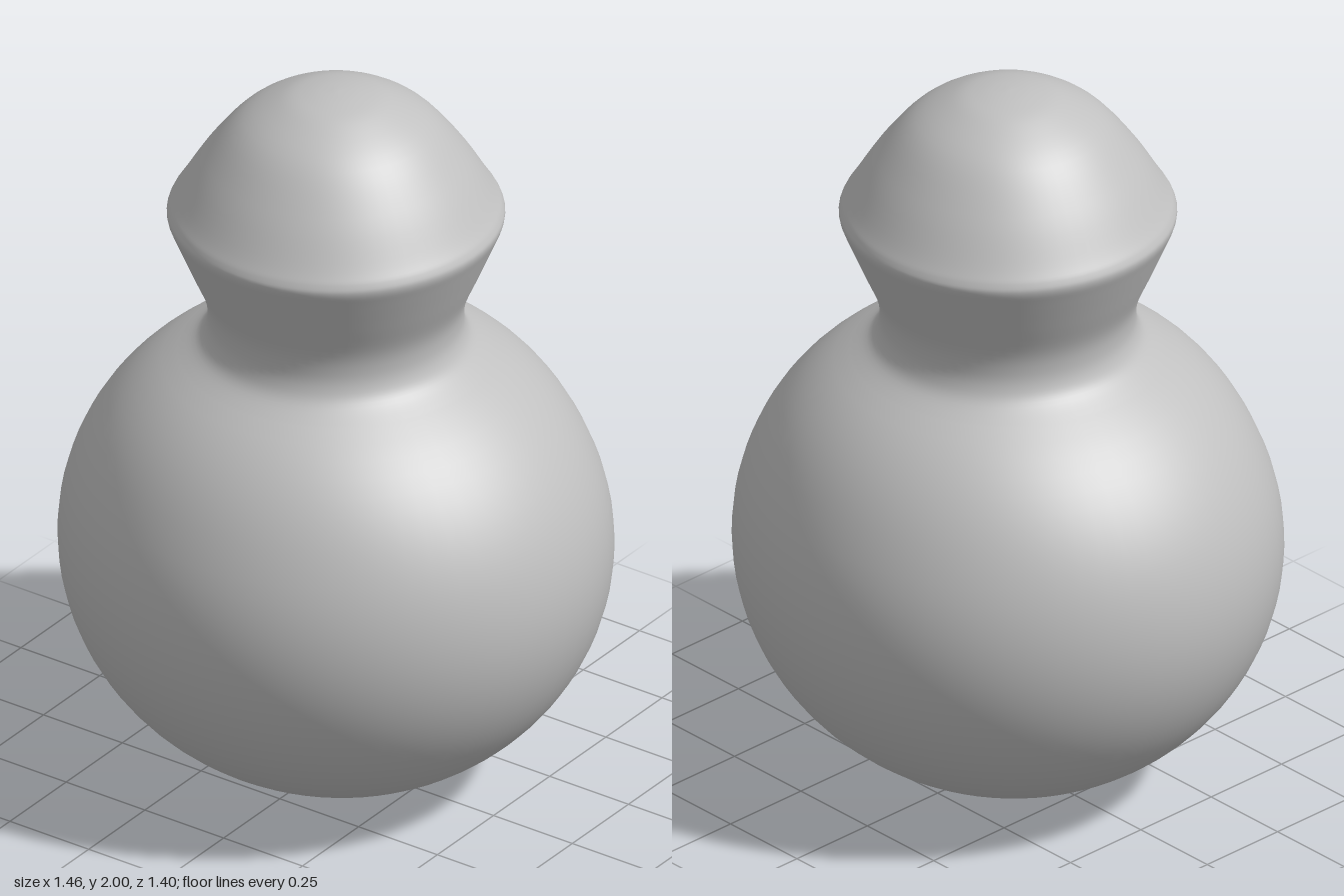
import * as THREE from 'three';
import { mergeVertices } from 'three/addons/utils/BufferGeometryUtils.js';

const BODY_R = 0.73, BODY_H = 0.668, BODY_Y = 0.673, BODY_DEPTH = 0.7 / 0.73;

// Lower bulb: elliptical arc from the bottom pole up to the shoulder
function bodyProfile() {
  const points = [];
  const end = Math.PI * 0.81;
  for (let i = 0; i <= 36; i++) {
    const a = (i / 36) * end;
    points.push(new THREE.Vector2(BODY_R * Math.sin(a), BODY_Y - BODY_H * Math.cos(a)));
  }
  return points;
}

// Pinched neck, flared collar and domed cap, as [radius, height]
function headProfile(start) {
  const knots = [
    [0.36, 1.263], [0.338, 1.3], [0.332, 1.345], [0.342, 1.405], [0.38, 1.495],
    [0.42, 1.59], [0.437, 1.635], [0.432, 1.66], [0.41, 1.695], [0.344, 1.80],
    [0.254, 1.907], [0.148, 1.972], [0.07, 1.994], [0, 2],
  ].map(([r, y]) => new THREE.Vector2(r, y));
  const points = new THREE.SplineCurve([start, ...knots]).getPoints(64).slice(1);
  points[points.length - 1].set(0, 2);
  return points;
}

export function createModel() {
  const group = new THREE.Group();
  group.name = 'roundFigure';
  const grey = new THREE.MeshStandardMaterial({ color: 0xc0c0c0 });
  grey.name = 'plain grey';

  const body = bodyProfile();
  const profile = [...body, ...headProfile(body[body.length - 1])];
  let geometry = new THREE.LatheGeometry(profile, 64);

  // The bulb is slightly shallower front to back; the neck and head are round
  const pos = geometry.attributes.position;
  for (let i = 0; i < pos.count; i++) {
    const t = THREE.MathUtils.smoothstep(pos.getY(i), 0.9, 1.3);
    pos.setZ(i, pos.getZ(i) * THREE.MathUtils.lerp(BODY_DEPTH, 1, t));
  }

  // Weld the seam so the shading is smooth all the way round
  geometry.deleteAttribute('uv');
  geometry.deleteAttribute('normal');
  geometry = mergeVertices(geometry, 1e-5);
  geometry.computeVertexNormals();

  const figure = new THREE.Mesh(geometry, grey);
  figure.name = 'bodyAndHead';
  group.add(figure);
  return group;
}
